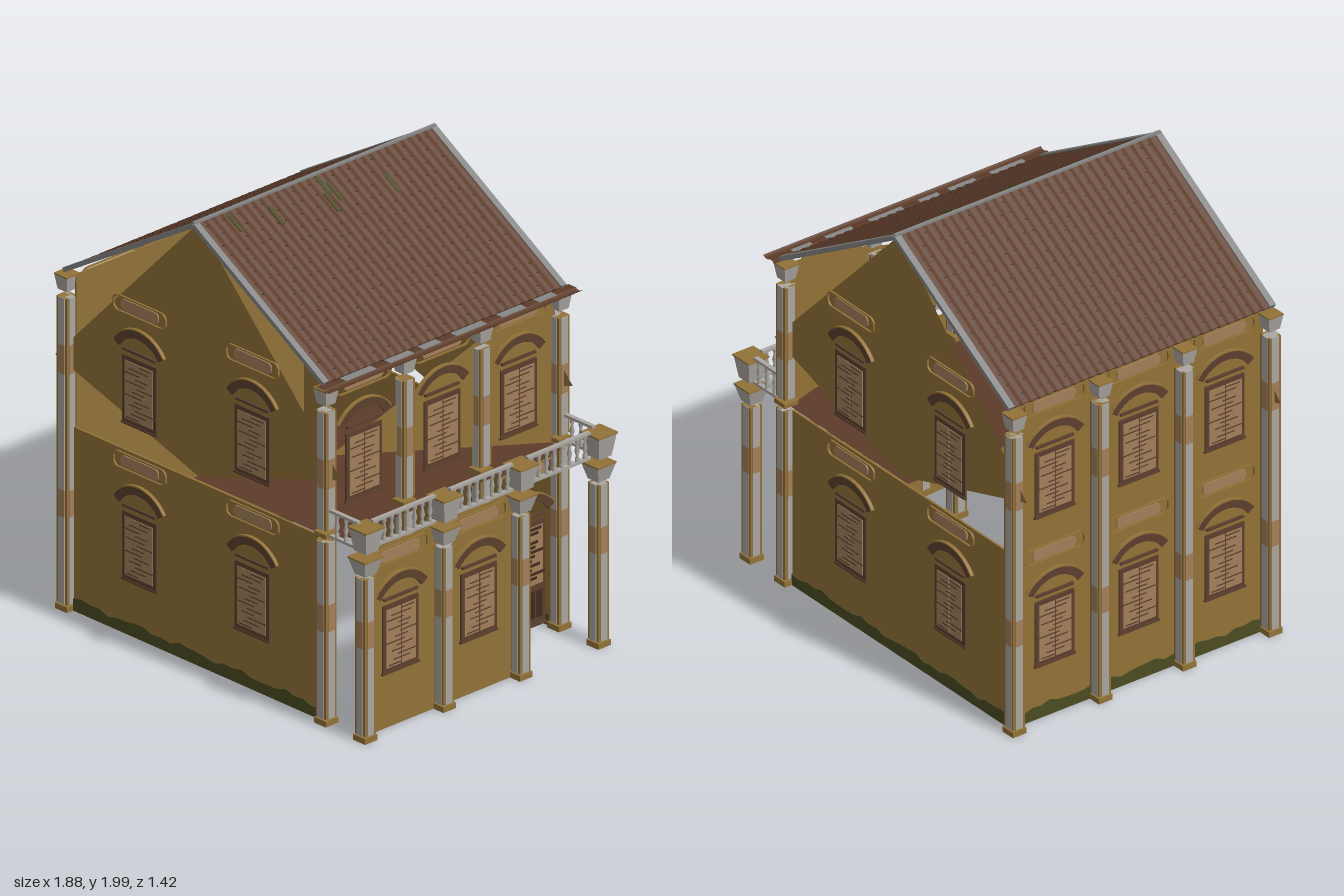
import * as THREE from 'three';
import { mergeGeometries } from 'three/addons/utils/BufferGeometryUtils.js';

const mat = (name, color) => new THREE.MeshStandardMaterial({ name, color, side: THREE.DoubleSide });
const M = {
  wall: mat('ochre plaster', 0x927238),
  stone: mat('grey stone', 0xaaa6a1),
  verge: mat('dark grey trim', 0x868786),
  roof: mat('roof brown', 0x5d3c2a),
  tile: mat('tile shadow brown', 0x40291f),
  trim: mat('window brown', 0x5c3f2e),
  blind: mat('worn tan', 0xa37f5b),
  moss: mat('moss green', 0x4b4c22),
};

const box = (w, h, d, x = 0, y = 0, z = 0) => new THREE.BoxGeometry(w, h, d).translate(x, y, z);
const flat = (shape, depth = 0.008) => new THREE.ExtrudeGeometry(shape, { depth, bevelEnabled: false, curveSegments: 14 });
const polygon = (...points) => new THREE.ShapeGeometry(new THREE.Shape(points.map((p) => new THREE.Vector2(...p))));
function add(parent, name, geo, material) {
  const g = Array.isArray(geo) ? mergeGeometries(geo) : geo;
  const m = new THREE.Mesh(g, material);
  m.name = name;
  parent.add(m);
  return m;
}
function group(parent, name) {
  const g = new THREE.Group();
  g.name = name;
  parent.add(g);
  return g;
}
// flat-sided square block that widens from the bottom to the top
function flare(low, high, h, x, y, z) {
  const g = new THREE.CylinderGeometry(high / Math.SQRT2, low / Math.SQRT2, h, 4).toNonIndexed();
  g.computeVertexNormals();
  return g.rotateY(Math.PI / 4).translate(x, y + h / 2, z);
}

function pill(w, h, cls = THREE.Shape) {
  const s = new cls(), r = h * 0.4, a = w / 2 - r, b = h / 2 - r;
  s.absarc(a, b, r, 0, Math.PI / 2);
  s.absarc(-a, b, r, Math.PI / 2, Math.PI);
  s.absarc(-a, -b, r, Math.PI, Math.PI * 1.5);
  s.absarc(a, -b, r, Math.PI * 1.5, Math.PI * 2);
  s.closePath();
  return s;
}
function archBand(inner, outer, depth) {
  const s = new THREE.Shape();
  s.absarc(0, 0.505, outer, 0.6, Math.PI - 0.6);
  s.absarc(0, 0.505, inner, Math.PI - 0.6, 0.6, true);
  s.closePath();
  return flat(s, depth);
}

// window or door, arch and plaque; y = 0 is the storey's floor, facing +z
function opening(isDoor) {
  const g = new THREE.Group();
  g.name = isDoor ? 'doorBay' : 'windowBay';
  const bottom = isDoor ? 0.09 : 0.25, h = 0.55 - bottom;
  add(g, 'frame', box(0.2, h, 0.008, 0, bottom + h / 2, 0.004), M.trim);
  const panes = [-1, 1].map((s) => box(0.08, 0.26, 0.004, s * 0.043, 0.4, 0.009));
  const slats = [];
  for (let i = 0; i < 13; i++) {
    const x = ((i * 7) % 5 - 2) * 0.018;
    slats.push(box(0.07 + (i % 3) * 0.02, isDoor ? 0.012 : 0.005, 0.003, x, 0.28 + i * 0.02, 0.0115));
  }
  if (isDoor) for (let i = 0; i < 4; i++) slats.push(box(0.03, 0.12, 0.004, (i - 1.5) * 0.042, 0.18, 0.009));
  add(g, 'blinds', panes, M.blind);
  add(g, 'slats', slats, isDoor ? M.tile : M.trim);
  // segmental arch over the opening
  add(g, 'arch', archBand(0.14, 0.176, 0.012), M.trim);
  add(g, 'archLip', archBand(0.176, 0.182, 0.016), M.wall);
  add(g, 'ledges', [box(0.19, 0.01, 0.012, 0, 0.577, 0.006), box(0.21, 0.008, 0.012, 0, bottom - 0.003, 0.006)], M.trim);
  // rounded plaque with worn centre
  const ring = pill(0.31, 0.075);
  ring.holes.push(pill(0.298, 0.064, THREE.Path));
  const plaque = group(g, 'plaque');
  plaque.position.y = 0.77;
  add(plaque, 'plaqueBorder', flat(ring, 0.009), M.wall);
  add(plaque, 'plaquePatch', flat(pill(0.22, 0.05), 0.006), M.blind);
  return g;
}

// wavy-topped moss plate along a wall foot
function mossStrip(from, to) {
  const s = new THREE.Shape();
  s.moveTo(from, 0);
  const n = 28;
  for (let i = 0; i <= n; i++) s.lineTo(from + (to - from) * i / n, 0.055 + 0.008 * Math.sin(i * 1.1) + 0.006 * Math.sin(i * 2.7));
  s.lineTo(to, 0);
  return flat(s, 0.018).translate(0, 0, -0.009);
}

// shaft with stone facing on four sides and worn patches
function shaft(g, x, z, y0, y1, patches) {
  add(g, 'shaftCore', box(0.06, y1 - y0, 0.06, x, (y0 + y1) / 2, z), M.wall);
  const stops = [y0, ...patches.flat(), y1];
  const parts = [[], []];
  for (let i = 0; i + 1 < stops.length; i++) {
    const h = stops[i + 1] - stops[i], y = stops[i] + h / 2;
    parts[i % 2].push(box(0.066, h, 0.036, x, y, z), box(0.036, h, 0.066, x, y, z));
  }
  add(g, 'shaftFacing', parts[0], M.stone);
  add(g, 'wornPatches', parts[1], M.blind);
}

export function createModel() {
  const house = new THREE.Group();
  house.name = 'house';
  const bays = [0.44, 0, -0.43], rows = [0.655, 0.215, -0.215, -0.655];

  // walls; the porch front covers two bays and the upper porch wall is a broken wedge
  add(house, 'lowerEndWalls', [-0.645, 0.645].map((z) => box(1.46, 0.82, 0.01, -0.1, 0.41, z)), M.wall);
  add(house, 'leftLongWall', box(0.008, 1.5, 1.28, -0.83, 0.75, 0), M.wall);
  add(house, 'porchWall', box(0.006, 0.82, 0.84, 0.853, 0.41, 0.2), M.wall);
  const wedge = polygon([-0.62, 1.18], [0.64, 0.83], [0.64, 1.5], [0.46, 1.5]);
  add(house, 'upperPorchWall', wedge.rotateY(Math.PI / 2).translate(0.64, 0, 0), M.wall);
  for (const z of [-0.65, 0.65]) {
    add(house, 'gable', polygon([-0.1, 1.98], [-0.94, 1.11], [-0.1, 0.845], [0.735, 1.11]).translate(0, 0, z), M.wall);
  }
  // upper floor over the porch half only
  add(house, 'upperFloor', new THREE.PlaneGeometry(0.84, 1.28).rotateX(-Math.PI / 2).translate(0.28, 0.823, 0), M.roof);

  // moss at the foot of the walls
  for (const z of [-0.645, 0.645]) add(house, 'moss', mossStrip(-0.83, 0.62).translate(0, 0, z), M.moss);
  add(house, 'moss', mossStrip(-0.63, 0.63).rotateY(Math.PI / 2).translate(-0.83, 0, 0), M.moss);

  // windows and door
  const windowBay = opening(false), doorBay = opening(true);
  const place = (part, x, y, z, turn) => {
    const c = part.clone();
    c.position.set(x, y, z);
    c.rotation.y = turn;
    house.add(c);
  };
  for (const y of [0, 0.7]) {
    for (const x of [-0.44, 0.22]) {
      place(windowBay, x, y, 0.651, 0);
      place(windowBay, x, y, -0.651, Math.PI);
    }
    bays.forEach((z, i) => {
      const isDoor = i === 2 && y === 0;
      place(windowBay, -0.834, y, z, -Math.PI / 2);
      place(isDoor ? doorBay : windowBay, y ? 0.641 : isDoor ? 0.693 : 0.856, y, z, Math.PI / 2);
    });
  }

  // columns
  const cols = group(house, 'columns');
  const low = [0.42, 0.54], high = [1.06, 1.19];
  for (const z of rows) {
    shaft(cols, -0.865, z, 0.03, 1.4, [low, high]);
    shaft(cols, 0.65, z, 0.03, 0.82, [low]);
    shaft(cols, 0.65, z, 0.875, 1.4, [high]);
    shaft(cols, 0.88, z, 0.03, 0.73, [low]);
    add(cols, 'bases', [-0.865, 0.65, 0.88].map((x) => box(0.07, 0.025, 0.07, x, 0.0125, z)).concat(box(0.07, 0.02, 0.07, 0.65, 0.85, z)), M.wall);
    add(cols, 'capitals', [
      flare(0.054, 0.074, 0.066, -0.865, 1.43, z), flare(0.054, 0.074, 0.066, 0.65, 1.43, z),
      flare(0.062, 0.1, 0.07, 0.88, 0.745, z), flare(0.07, 0.1, 0.1, 0.885, 0.85, z)], M.stone);
    add(cols, 'capitalTops', [
      box(0.076, 0.006, 0.076, -0.865, 1.498, z), box(0.076, 0.006, 0.076, 0.65, 1.498, z),
      box(0.104, 0.007, 0.104, 0.88, 0.818, z), box(0.108, 0.007, 0.108, 0.885, 0.953, z)], M.wall);
  }

  // balcony railings
  const rail = group(house, 'balustrade');
  const profile = [[0.009, 0.855], [0.009, 0.872], [0.005, 0.878], [0.011, 0.9], [0.005, 0.93], [0.009, 0.94], [0.009, 0.957]].map((p) => new THREE.Vector2(...p));
  const baluster = (x, z) => new THREE.LatheGeometry(profile, 8).translate(x, 0, z);
  const posts = [], bars = [];
  for (const z of [0.435, 0, -0.435]) {
    for (let i = 0; i < 8; i++) posts.push(baluster(0.872, z + (i - 3.5) * 0.043));
    bars.push(box(0.02, 0.012, 0.35, 0.872, 0.961, z), box(0.02, 0.012, 0.35, 0.872, 0.849, z));
  }
  for (const z of [-0.66, 0.66]) {
    for (let i = 0; i < 3; i++) posts.push(baluster(0.72 + i * 0.052, z));
    bars.push(box(0.165, 0.012, 0.02, 0.765, 0.961, z), box(0.165, 0.012, 0.02, 0.765, 0.849, z));
  }
  add(rail, 'balusters', posts, M.stone);
  add(rail, 'rails', bars, M.stone);

  // roof slopes, built pointing along +x from the ridge and then tilted
  const L = 0.885, tilt = Math.atan2(0.455, 0.76);
  for (const side of [1, -1]) {
    const slope = group(house, 'roofSlope');
    slope.position.set(-0.1, 1.978, 0);
    slope.rotation.set(0, side > 0 ? 0 : Math.PI, -tilt, 'YXZ');
    const sheet = new THREE.BoxGeometry(L, 0.008, 1.32, 1, 1, 180).translate(L / 2, 0, 0);
    const p = sheet.attributes.position;
    for (let i = 0; i < p.count; i++) p.setY(i, p.getY(i) + 0.003 * Math.sin(p.getZ(i) * Math.PI * 2 / 0.044));
    sheet.computeVertexNormals();
    add(slope, 'tiles', sheet, M.roof);
    const marks = [];
    for (let r = 0; r < 16; r++) for (let k = 0; k < 29; k++) {
      if ((r * 5 + k * 3) % 7 > 3) continue;
      marks.push(box(0.005, 0.003, 0.013, 0.03 + r * 0.054, 0.006, (k - 14) * 0.044 + 0.011));
    }
    add(slope, 'tileShadows', marks, M.tile);
    add(slope, 'verges', [-0.668, 0.668].map((z) => box(L, 0.02, 0.03, L / 2, 0, z)), M.verge);
    if (side > 0) {
      const spots = [[0.05, 0], [0.14, 0.02], [0.1, -0.03], [0.06, 0.5], [0.1, 0.3], [0.16, -0.3]];
      add(slope, 'roofMoss', spots.map(([x, z]) => box(0.1, 0.004, 0.018, x, 0.006, z)), M.moss);
    }
  }
  add(house, 'ridge', box(0.014, 0.01, 1.36, -0.1, 1.988, 0), M.verge);

  // gutter over the porch side, with worn spots
  const gutter = new THREE.CylinderGeometry(0.022, 0.022, 1.42, 8, 1, true, -Math.PI * 0.4, Math.PI * 0.8);
  add(house, 'gutter', gutter.rotateX(Math.PI / 2).scale(1, 0.6, 1).translate(0.711, 1.524, 0), M.roof);
  add(house, 'eaveSheet', new THREE.PlaneGeometry(0.045, 1.42).rotateX(-Math.PI / 2).translate(0.67, 1.518, 0), M.roof);
  const wear = [-0.55, -0.36, -0.12, 0.1, 0.27, 0.5].map((z, i) => box(0.04, 0.003, 0.1 + (i % 3) * 0.035, 0.675, 1.52, z));
  add(house, 'gutterWear', wear, M.verge);
  return house;
}
